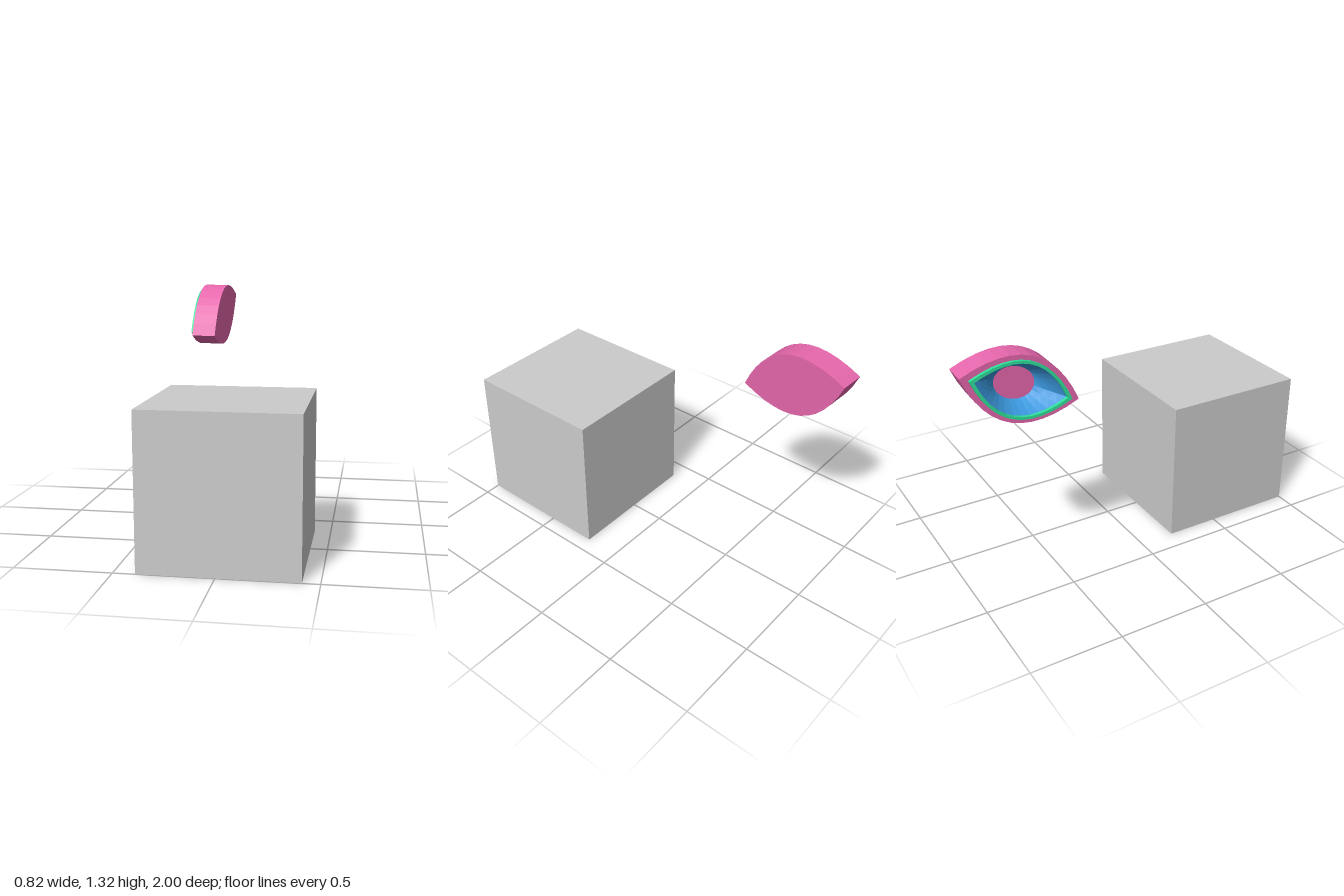
import * as THREE from 'three';

const HALF_LENGTH = 0.3225, HALF_HEIGHT = 0.174, DEPTH = 0.14;
const SEGMENTS = 12;

// Pointed lens outline, two quadratic arcs meeting at the tips
function lens(scale, Type = THREE.Shape) {
  const a = HALF_LENGTH * scale, h = HALF_HEIGHT * scale;
  const outline = new Type();
  outline.moveTo(a, 0);
  outline.quadraticCurveTo(0, 2 * h, -a, 0);
  outline.quadraticCurveTo(0, -2 * h, a, 0);
  return outline;
}

// Lens-shaped slab between two depths, with an optional lens-shaped hole
function lensSlab(outer, inner, z0, z1) {
  const shape = lens(outer);
  if (inner) shape.holes.push(lens(inner, THREE.Path));
  const geometry = new THREE.ExtrudeGeometry(shape, {
    depth: z1 - z0, bevelEnabled: false, curveSegments: SEGMENTS,
  });
  return geometry.translate(0, 0, z0);
}

// Tapered lining that blends from the lens outline to an ellipse
function liningGeometry(scale, rx, ry, z0, z1) {
  const rim = lens(scale).getPoints(SEGMENTS).slice(0, 2 * SEGMENTS);
  const n = rim.length, rows = 3, positions = [], index = [];
  for (let r = 0; r <= rows; r++) {
    const t = r / rows;
    rim.forEach((p, i) => {
      const angle = (i / n) * Math.PI * 2;
      positions.push(
        THREE.MathUtils.lerp(p.x, rx * Math.cos(angle), t),
        THREE.MathUtils.lerp(p.y, ry * Math.sin(angle), t),
        THREE.MathUtils.lerp(z0, z1, t));
      if (r < rows) {
        const a = r * n + i, b = r * n + (i + 1) % n;
        index.push(a, a + n, b, b, a + n, b + n);
      }
    });
  }
  const geometry = new THREE.BufferGeometry();
  geometry.setAttribute('position', new THREE.Float32BufferAttribute(positions, 3));
  geometry.setIndex(index);
  geometry.computeVertexNormals();
  return geometry;
}

export function createModel() {
  const model = new THREE.Group();
  const material = (color) => new THREE.MeshStandardMaterial({
    color, flatShading: true, side: THREE.DoubleSide,
  });
  const pink = material(0xe667ac), green = material(0x2ee09a), blue = material(0x3b9ae0);

  function add(parent, name, geometry, mat) {
    const mesh = new THREE.Mesh(geometry, mat);
    mesh.name = name;
    parent.add(mesh);
    return mesh;
  }

  // Plain cube on the ground
  const cube = add(model, 'cube', new THREE.BoxGeometry(0.8, 0.8, 0.8),
    new THREE.MeshStandardMaterial({ color: 0xcccccc }));
  cube.position.set(0.012, 0.4, 0.6);

  // Floating pointed cup, its opening towards local -z
  const cup = new THREE.Group();
  cup.name = 'lensCup';
  add(cup, 'cupBack', lensSlab(1, 0, -0.02, 0), pink);
  add(cup, 'cupWall', lensSlab(1, 0.8, -DEPTH, -0.02), pink);
  add(cup, 'rim', lensSlab(0.86, 0.78, -DEPTH - 0.018, -DEPTH + 0.005), green);
  add(cup, 'lining', liningGeometry(0.785, 0.11, 0.085, -DEPTH, -0.045), blue);
  const floor = add(cup, 'cupFloor', new THREE.CircleGeometry(1, 2 * SEGMENTS), pink);
  floor.scale.set(0.11, 0.085, 1);
  floor.position.z = -0.045;

  // Tilt: long axis rises towards the rear, opening faces the right
  const normal = new THREE.Vector3(1, -0.02, 0.051).normalize();
  const along = new THREE.Vector3(0, 0.355, -0.935);
  along.addScaledVector(normal, -along.dot(normal)).normalize();
  const up = new THREE.Vector3().crossVectors(normal, along);
  cup.quaternion.setFromRotationMatrix(new THREE.Matrix4().makeBasis(along, up, normal));
  cup.position.set(-0.238, 1.13, -0.69);
  model.add(cup);

  return model;
}
